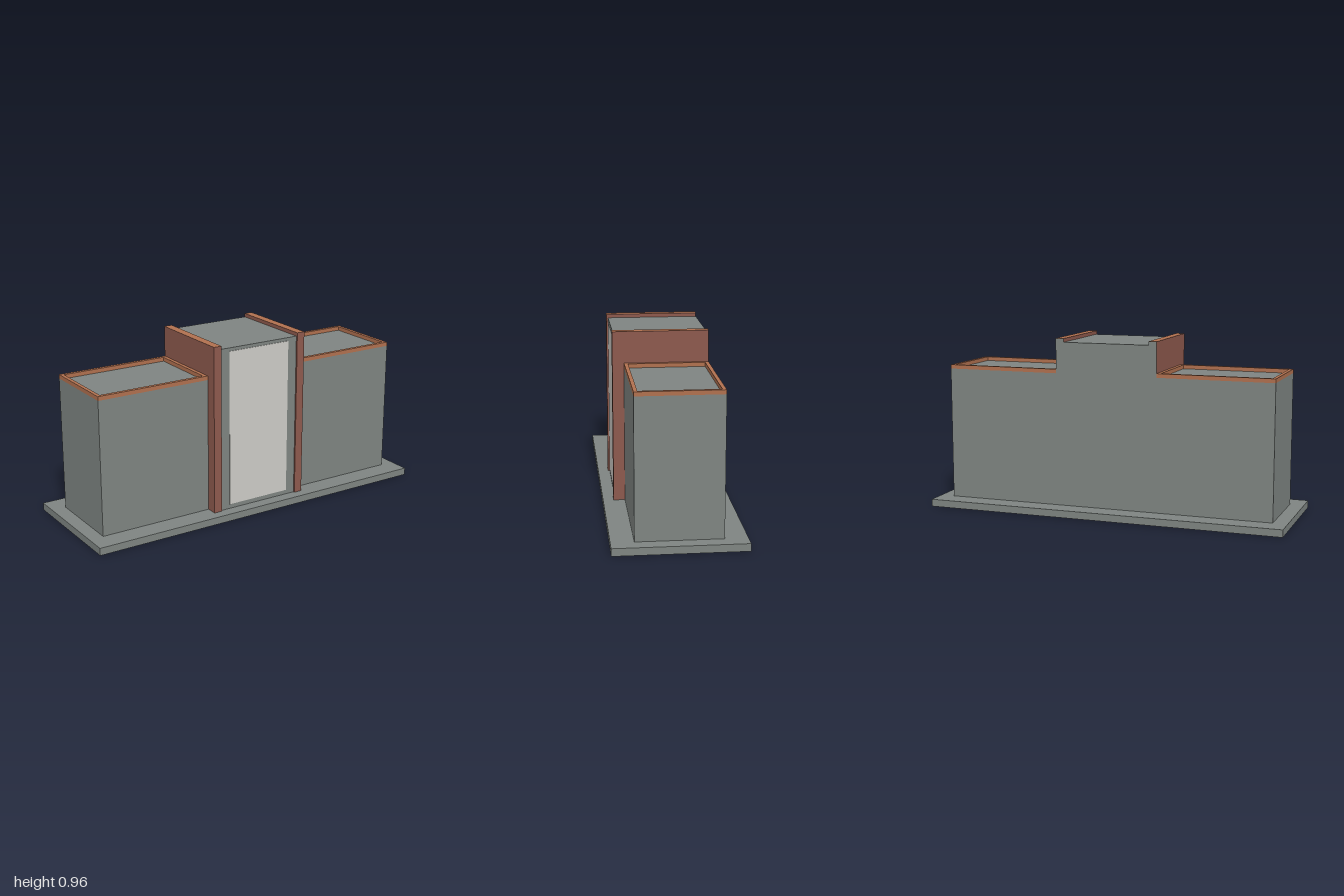
import * as THREE from 'three';

const material = (name, color) => {
  const m = new THREE.MeshStandardMaterial({ color });
  m.name = name;
  return m;
};

export function createModel() {
  const model = new THREE.Group();
  model.name = 'building';
  const concrete = material('concrete grey', 0x7e8481);
  const brick = material('brick brown', 0x8d594d);
  const coping = material('coping orange', 0xb0704f);
  const glazing = material('pale glazing', 0xcccbc6);

  // Box given by its minimum and maximum corners
  const box = (name, mat, [x0, y0, z0], [x1, y1, z1]) => {
    const mesh = new THREE.Mesh(new THREE.BoxGeometry(x1 - x0, y1 - y0, z1 - z0), mat);
    mesh.position.set((x0 + x1) / 2, (y0 + y1) / 2, (z0 + z1) / 2);
    mesh.name = name;
    model.add(mesh);
    return mesh;
  };

  const ground = 0.04, back = -0.223, deck = 0.77;
  const finIn = 0.24, finOut = 0.286, wingOut = 0.922;

  box('base', concrete, [-1, 0, -0.341], [1, ground, 0.341]);

  // Central tower with its tall front panel
  box('tower', concrete, [-finIn, ground, back], [finIn, 0.94, 0.275]);
  box('frontPanel', glazing, [-0.186, 0.065, 0.275], [0.186, 0.922, 0.278]);

  for (const side of [-1, 1]) {
    const label = side > 0 ? 'left' : 'right';
    const span = (a, b) => (side > 0 ? [a, b] : [-b, -a]);

    // Fin: brick faces, orange top, grey back flush with the rear wall
    const [f0, f1] = span(finIn, finOut);
    box(label + 'Fin', [brick, brick, coping, brick, brick, concrete],
      [f0, ground, back], [f1, 0.96, 0.284]);

    // Side wing
    const [w0, w1] = span(finOut, wingOut);
    box(label + 'Wing', concrete, [w0, ground, back], [w1, deck, -back]);

    // Parapet rim around the flat roof
    const rim = 0.02;
    const outline = new THREE.Shape([[w0, back], [w1, back], [w1, -back], [w0, -back]]
      .map(p => new THREE.Vector2(...p)));
    outline.holes.push(new THREE.Path(
      [[w0 + rim, back + rim], [w0 + rim, -back - rim], [w1 - rim, -back - rim], [w1 - rim, back + rim]]
        .map(p => new THREE.Vector2(...p))));
    const geometry = new THREE.ExtrudeGeometry(outline, { depth: 0.022, bevelEnabled: false });
    geometry.rotateX(-Math.PI / 2);
    const parapet = new THREE.Mesh(geometry, coping);
    parapet.position.y = deck;
    parapet.name = label + 'Parapet';
    model.add(parapet);
  }
  return model;
}
